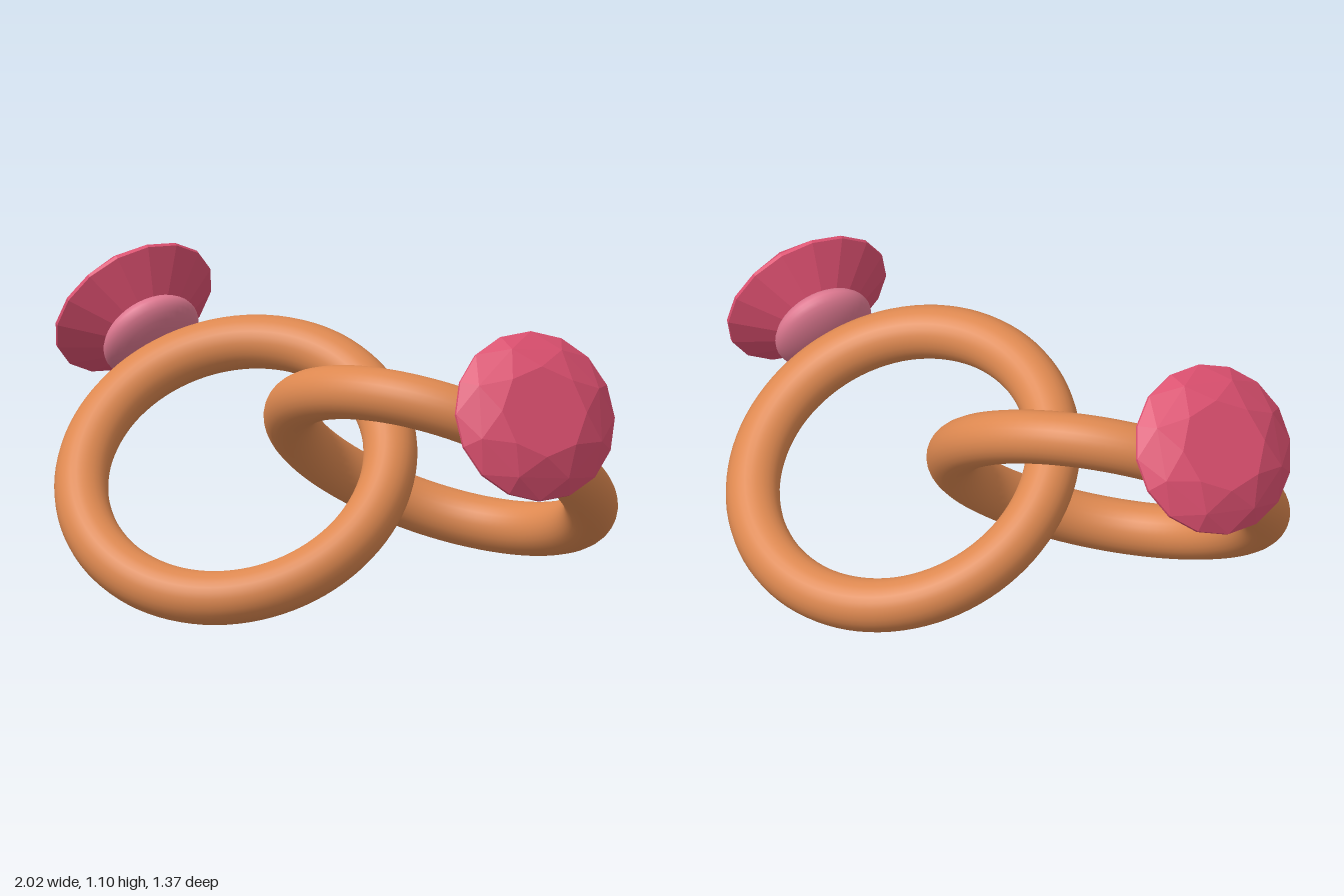
import * as THREE from 'three';
import { ConvexGeometry } from 'three/addons/geometries/ConvexGeometry.js';

const R = 0.512, TUBE = 0.088;
const metal = new THREE.MeshStandardMaterial({ color: 0xdd8850 });
const pink = new THREE.MeshStandardMaterial({ color: 0xdd7890, side: THREE.DoubleSide });
const ruby = new THREE.MeshStandardMaterial({ color: 0xdd5070, flatShading: true });

function mesh(name, geometry, material) {
  const m = new THREE.Mesh(geometry, material);
  m.name = name;
  return m;
}

// Faceted stone along +y: culet, thin girdle, kite corners, flat table
function gemGeometry() {
  const points = [new THREE.Vector3(0, 0.585, 0)];
  const ring = (count, radius, y, turn) => {
    for (let i = 0; i < count; i++) {
      const a = ((i + turn) / count) * Math.PI * 2;
      points.push(new THREE.Vector3(radius * Math.cos(a), y, radius * Math.sin(a)));
    }
  };
  ring(16, 0.281, 0.774, 0);
  ring(16, 0.281, 0.786, 0);
  ring(8, 0.23, 0.828, 0);
  ring(8, 0.15, 0.862, 0.5);
  return new ConvexGeometry(points);
}

// Rounded cushion that carries the stone
function settingGeometry() {
  const profile = [];
  for (let i = 0; i <= 16; i++) {
    const a = -Math.PI / 2 + (i / 16) * Math.PI;
    profile.push(new THREE.Vector2(Math.max(0, 0.168 * Math.cos(a)), 0.645 + 0.07 * Math.sin(a)));
  }
  return new THREE.LatheGeometry(profile, 40);
}

// Ring in the plane given by its normal, with the stone pointing along a direction
function createRing(name, center, normal, toGem) {
  const n = new THREE.Vector3(...normal).normalize();
  const y = new THREE.Vector3(...toGem).projectOnPlane(n).normalize();
  const x = new THREE.Vector3().crossVectors(y, n);
  const ring = new THREE.Group();
  ring.name = name;
  ring.add(
    mesh('band', new THREE.TorusGeometry(R, TUBE, 28, 96), metal),
    mesh('setting', settingGeometry(), pink),
    mesh('gemstone', gemGeometry(), ruby),
  );
  ring.quaternion.setFromRotationMatrix(new THREE.Matrix4().makeBasis(x, y, n));
  ring.position.set(...center);
  return ring;
}

export function createModel() {
  const model = new THREE.Group();
  model.name = 'interlockedRings';
  model.add(
    createRing('rightRing', [-0.33, 0.445, 0.017], [-0.04, 0.725, 0.69], [-0.575, 0.55, -0.607]),
    createRing('leftRing', [0.33, 0.485, -0.085], [0.187, 0.821, -0.538], [0.568, 0.355, 0.743]),
  );
  return model;
}
